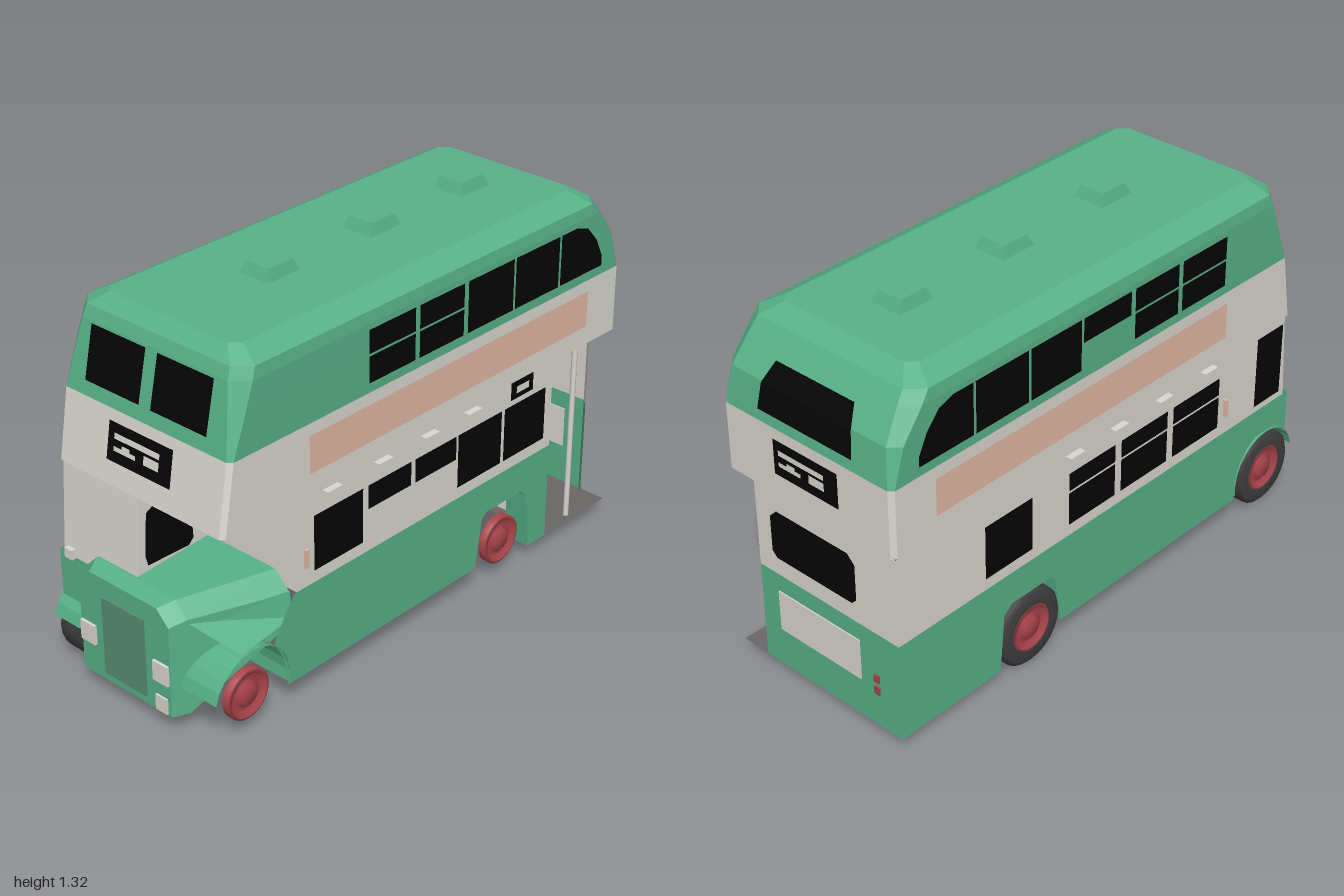
import * as THREE from 'three';

const mat = (name, color) => new THREE.MeshStandardMaterial({ name, color, side: THREE.DoubleSide });

export function createModel() {
  const bus = new THREE.Group();
  bus.name = 'doubleDeckerBus';
  const green = mat('green', 0x58b288), cream = mat('cream', 0xdad8cf), black = mat('black', 0x050505);
  const salmon = mat('salmon', 0xe0b8a5), red = mat('red', 0xa8444a), rubber = mat('rubber', 0x403e3e);
  const grey = mat('platformGrey', 0x6a6767), grille = mat('grilleGreen', 0x588e72);

  const add = (name, geo, m, x = 0, y = 0, z = 0) => {
    const mesh = new THREE.Mesh(geo, m);
    mesh.name = name;
    mesh.position.set(x, y, z);
    bus.add(mesh);
    return mesh;
  };
  const box = (name, m, w, h, d, x, y, z) => add(name, new THREE.BoxGeometry(w, h, d), m, x, y, z);
  const faces = (tris) => {
    const g = new THREE.BufferGeometry();
    g.setAttribute('position', new THREE.Float32BufferAttribute(tris.flat(), 3));
    g.computeVertexNormals();
    return g;
  };
  // flat convex polygon from 3D corners
  const fan = (p) => p.slice(2).flatMap((q, i) => [p[0], p[i + 1], q]);
  const poly = (name, m, pts) => add(name, faces(fan(pts)), m);
  // flat-shaded skin through matching rings; firstSide 1 leaves one side open
  const loft = (name, m, rings, capStart, capEnd, firstSide = 0) => {
    const t = [];
    for (let k = 0; k + 1 < rings.length; k++) {
      const a = rings[k], b = rings[k + 1];
      for (let i = firstSide; i < a.length; i++) {
        const j = (i + 1) % a.length;
        t.push(a[j], a[i], b[i], a[j], b[i], b[j]);
      }
    }
    if (capStart) t.push(...fan(rings[0]));
    if (capEnd) t.push(...fan([...rings[rings.length - 1]].reverse()));
    return add(name, faces(t), m);
  };
  // side plate drawn as [z, y] points, standing at x and facing outwards
  const side = (name, m, x, pts) => {
    const s = Math.sign(x);
    const g = new THREE.ShapeGeometry(new THREE.Shape(pts.map(([z, y]) => new THREE.Vector2(-s * z, y))));
    return add(name, g.rotateY(s * Math.PI / 2), m, x);
  };
  const rect = (z0, z1, y0, y1) => [[z0, y0], [z1, y0], [z1, y1], [z0, y1]];

  // Upper deck: plan sections with chamfered corners, stacked upwards
  const ring = (y, w, zf, zb, c = 0.05) => [
    [w, y, zf - c], [w - c, y, zf], [c - w, y, zf], [-w, y, zf - c],
    [-w, y, zb + c], [c - w, y, zb], [w - c, y, zb], [w, y, zb + c]];
  const belt = ring(0.97, 0.36, 0.865, -0.985, 0.015);
  loft('upperDeckPanels', cream, [ring(0.73, 0.36, 0.905, -0.985, 0.015), belt], true, false);
  loft('upperDeckAndRoof', green, [belt, ring(1.1, 0.36, 0.837, -0.965, 0.035), ring(1.2, 0.358, 0.815, -0.9),
    ring(1.24, 0.353, 0.8, -0.87), ring(1.28, 0.28, 0.755, -0.81, 0.03)], false, true);

  // Roof vents
  for (const z of [0.33, -0.13, -0.57]) {
    const sq = (y, hx, hz) => [[hx, y, z + hz], [-hx, y, z + hz], [-hx, y, z - hz], [hx, y, z - hz]];
    loft('roofVent', green, [sq(1.275, 0.062, 0.072), sq(1.32, 0.048, 0.052)], false, true);
  }

  // Lower side walls with wheel arches
  const rearArch = [[-0.26, 0.09], [-0.29, 0.27], [-0.31, 0.29], [-0.49, 0.29], [-0.525, 0.26], [-0.545, 0.05]];
  const frontArch = [[0.92, 0.41], [0.92, 0.27], [0.87, 0.3], [0.75, 0.3], [0.7, 0.27], [0.66, 0.2], [0.64, 0.09]];
  side('leftSkirt', green, 0.36, [[-0.64, 0.41], [0.61, 0.41], [0.66, 0.34], [0.7, 0.27], [0.66, 0.2], [0.64, 0.09], ...rearArch, [-0.64, 0.05]]);
  side('leftLowerPanel', cream, 0.36, rect(-0.64, 0.6, 0.41, 0.73));
  side('rightSkirt', green, -0.36, [[-0.98, 0.41], ...frontArch, ...rearArch, [-0.98, 0.05]]);
  side('rightLowerPanel', cream, -0.36, rect(-0.98, 0.6, 0.41, 0.73));
  // arch linings reaching inwards
  for (const s of [-1, 1]) {
    const lining = rearArch.slice(1).flatMap(([z, y], i) => {
      const [pz, py] = rearArch[i];
      return fan([[0.36 * s, py, pz], [0.36 * s, y, z], [0.27 * s, y, z], [0.27 * s, py, pz]]);
    });
    add('rearArchLining', faces(lining), green);
  }

  // Rear wall, stopping short of the open entrance corner
  const plan = [[-0.36, -0.98], [0.25, -0.98], [0.28, -0.95]];
  for (let i = 0; i < 2; i++) {
    const [[x0, z0], [x1, z1]] = [plan[i], plan[i + 1]];
    const band = (y0, y1) => [[x0, y0, z0], [x0, y1, z0], [x1, y1, z1], [x1, y0, z1]];
    poly('rearSkirt', green, band(0.05, 0.41));
    poly('rearPanel', cream, band(0.41, 0.74));
  }

  // Entrance: bulkhead beside the gangway, pole, floor and inner step
  poly('entranceBulkhead', cream, [[0.36, 0.08, -0.64], [0.15, 0.08, -0.64], [0.15, 0.73, -0.64], [0.36, 0.73, -0.64]]);
  add('entrancePole', new THREE.CylinderGeometry(0.01, 0.01, 0.68, 8), cream, 0.33, 0.39, -0.8);
  poly('entranceFloor', grey, [[0.36, 0.05, -0.64], [0.36, 0.05, -0.98], [-0.36, 0.05, -0.98], [-0.36, 0.05, -0.64]]);
  poly('entranceStep', grey, [[-0.35, 0.085, -0.645], [-0.35, 0.055, -0.975], [-0.35, 0.12, -0.975], [-0.35, 0.155, -0.645]]);

  // Front bulkhead and half cab
  poly('frontBulkhead', cream, [[0, 0.41, 0.6], [0.36, 0.41, 0.6], [0.36, 0.73, 0.6], [0, 0.73, 0.6]]);
  const cab = (y, zf) => [[0, y, zf], [-0.335, y, zf], [-0.36, y, zf - 0.03], [-0.36, y, 0.6], [0, y, 0.6]];
  loft('driverCab', cream, [cab(0.41, 0.925), cab(0.73, 0.905)], false, false);
  poly('cabApron', green, [[-0.36, 0.24, 0.922], [-0.2, 0.24, 0.922], [-0.2, 0.41, 0.922], [-0.36, 0.41, 0.922]]);
  side('cabInnerWindow', black, 0.006, [[0.69, 0.5], [0.71, 0.48], [0.88, 0.485], [0.89, 0.52], [0.88, 0.67], [0.85, 0.685], [0.7, 0.68]]);
  side('cabDoorWindow', black, -0.366, rect(0.72, 0.86, 0.44, 0.71));

  // Bonnet, open underneath
  const nose = (z, x0, x1, y0, y1, c) => [[x0, y0, z], [x1, y0, z], [x1, y1 - c, z], [x1 - c, y1, z], [x0 + c, y1, z], [x0, y1 - c, z]];
  loft('bonnet', green, [nose(0.62, -0.22, 0.35, 0.3, 0.475, 0.06), nose(0.93, -0.225, 0.225, 0.07, 0.46, 0.05),
    nose(0.985, -0.2, 0.2, 0.07, 0.445, 0.05)], false, true, 1);
  box('radiatorGrille', grille, 0.185, 0.28, 0.008, 0, 0.24, 0.988);
  for (const s of [-1, 1]) box('headlamp', cream, 0.065, 0.07, 0.02, 0.163 * s, 0.22, 0.985);
  box('frontPlate', cream, 0.05, 0.055, 0.008, 0.16, 0.103, 0.988);
  box('cabLamp', cream, 0.035, 0.035, 0.02, -0.3, 0.423, 0.93);
  // sloping valance between bonnet and left mudguard
  poly('leftValance', green, [[0.22, 0.4, 0.93], [0.36, 0.3, 0.84], [0.36, 0.33, 0.62], [0.35, 0.42, 0.62]]);

  // Wheels and front mudguards
  const lathe = (pts) => new THREE.LatheGeometry(pts.map((p) => new THREE.Vector2(...p)), 24).rotateZ(-Math.PI / 2);
  const hubGeo = lathe([[0.088, -0.02], [0.088, 0.005], [0.076, 0.01], [0.066, -0.008], [0.04, -0.004], [0.034, 0.01], [0, 0.012]]);
  const tyreGeo = lathe([[0.086, 0], [0.125, 0], [0.14, 0.012], [0.14, 0.068], [0.125, 0.078], [0.086, 0.078], [0.086, 0]]);
  for (const z of [0.81, -0.4]) {
    add('leftWheelHub', hubGeo, red, 0.35, 0.14, z);
    add('rightWheelHub', hubGeo, red, -0.352, 0.14, z).rotation.y = Math.PI;
    add('rightTyre', tyreGeo, rubber, -0.361, 0.14, z);
  }
  const arcPoint = (i, x) => {
    const a = 0.22 + (i / 12) * Math.PI;
    return [x, 0.14 + 0.16 * Math.sin(a), 0.8 + 0.16 * Math.cos(a)];
  };
  for (const s of [-1, 1]) {
    const t = [];
    for (let i = 0; i < 12; i++) {
      t.push(...fan([arcPoint(i, 0.2 * s), arcPoint(i, 0.366 * s), arcPoint(i + 1, 0.366 * s), arcPoint(i + 1, 0.2 * s)]));
    }
    add('frontMudguard', faces(t), green);
  }

  // Side windows: [rear z, front z, bottom y, top y]
  const up = [[-0.64, -0.415, 1.005, 1.185], [-0.405, -0.18, 1.005, 1.185]];
  const split = (z0, z1, y0, y1, m) => [[z0, z1, y0, m - 0.004], [z0, z1, m + 0.004, y1]];
  const left = [...up, ...split(-0.16, 0.05, 1.005, 1.185, 1.1), ...split(0.07, 0.28, 1.005, 1.185, 1.1),
    [0.305, 0.525, 0.455, 0.65], [0.08, 0.28, 0.565, 0.65], [-0.14, 0.06, 0.565, 0.65],
    [-0.37, -0.15, 0.455, 0.65], [-0.6, -0.385, 0.455, 0.65], [-0.53, -0.415, 0.67, 0.735]];
  const right = [...up, [-0.17, 0.05, 1.1, 1.185], ...split(0.07, 0.28, 1.005, 1.185, 1.1), ...split(0.3, 0.52, 1.005, 1.185, 1.1),
    [-0.61, -0.4, 0.455, 0.65], ...split(-0.23, -0.01, 0.455, 0.65, 0.58),
    ...split(0.02, 0.25, 0.455, 0.65, 0.58), ...split(0.28, 0.52, 0.455, 0.65, 0.58)];
  for (const [s, list] of [[1, left], [-1, right]]) {
    for (const w of list) side('sideWindow', black, 0.364 * s, rect(...w));
    side('curvedRearSideWindow', black, 0.364 * s, [[-0.65, 1.005], [-0.65, 1.185], [-0.73, 1.185], [-0.79, 1.165], [-0.84, 1.11], [-0.875, 1.04], [-0.875, 1.005]]);
    side('advertBand', salmon, 0.363 * s, rect(-0.81, 0.54, 0.8, 0.93));
    for (const z of [0.45, 0.22, 0, -0.21]) box('sideVent', cream, 0.03, 0.035, 0.065, 0.368 * s, 0.703, z);
    box('sideIndicator', salmon, 0.014, 0.065, 0.014, 0.364 * s, 0.515, 0.56);
  }
  side('routeSignInset', cream, 0.367, rect(-0.505, -0.44, 0.69, 0.715));

  // Front and rear glazing, following the slope of each end
  const frontZ = (y) => 0.865 - (y - 0.97) * (y > 0.97 ? 0.217 : 0.167);
  const rearZ = (y) => (y < 0.97 ? -0.985 : y < 1.1 ? -0.985 + (y - 0.97) * 0.154 : -0.965 + (y - 1.1) * 0.65);
  const endPlate = (name, m, f, off, x0, x1, y0, y1, inset = 0) => poly(name, m, [[x0, y0, f(y0) + off], [x1, y0, f(y0) + off],
    [x1 - inset, y1, f(y1) + off], [x0 + inset, y1, f(y1) + off]]);
  endPlate('frontWindow', black, frontZ, 0.006, -0.26, -0.025, 1.02, 1.195);
  endPlate('frontWindow', black, frontZ, 0.006, 0.025, 0.26, 1.02, 1.195);
  endPlate('rearUpperWindow', black, rearZ, -0.006, -0.2, 0.2, 1.01, 1.1, 0.01);
  endPlate('rearUpperWindow', black, rearZ, -0.006, -0.19, 0.19, 1.1, 1.165, 0.025);
  for (const [f, s] of [[frontZ, 1], [rearZ, -1]]) {
    endPlate('destinationBox', black, f, 0.005 * s, -0.14, 0.135, 0.81, 0.935);
    for (const [x0, x1, y0, y1] of [[-0.11, 0.085, 0.887, 0.906], [-0.11, -0.015, 0.848, 0.863], [-0.075, -0.04, 0.863, 0.874], [0.02, 0.085, 0.848, 0.878]]) {
      endPlate('destinationStrip', cream, f, 0.009 * s, x0 * s, x1 * s, y0, y1);
    }
  }
  poly('rearLowerWindow', black, [[-0.19, 0.5], [-0.17, 0.48], [0.16, 0.48], [0.18, 0.5], [0.18, 0.63], [0.15, 0.66], [-0.16, 0.66], [-0.19, 0.63]]
    .map(([x, y]) => [x, y, -0.986]));
  box('rearPlatePanel', cream, 0.36, 0.15, 0.008, -0.01, 0.27, -0.98);
  for (const y of [0.19, 0.235]) box('tailLamp', red, 0.022, 0.028, 0.01, -0.26, y, -0.981);

  return bus;
}
